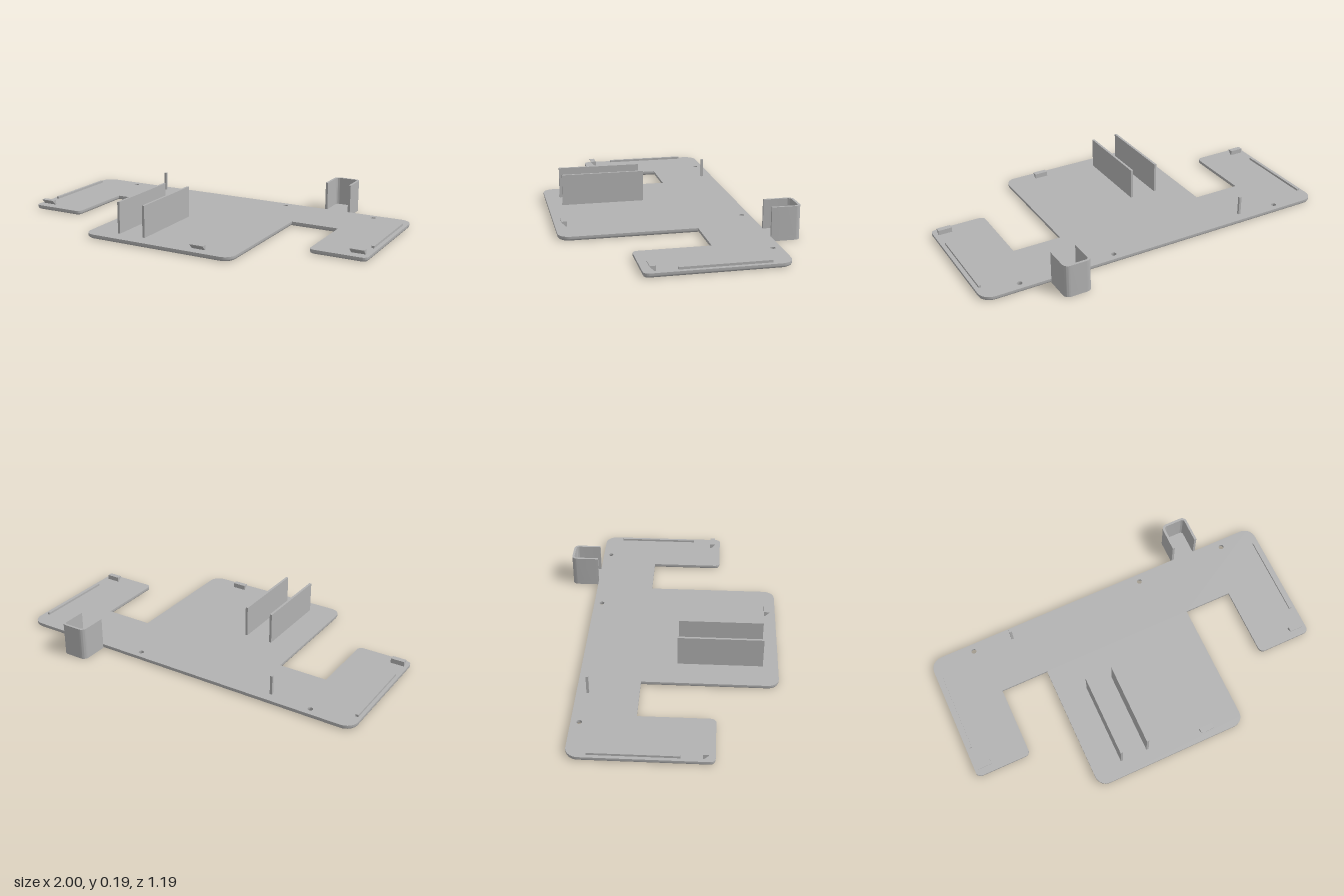
import * as THREE from 'three';
import { mergeGeometries, toCreasedNormals } from 'three/addons/utils/BufferGeometryUtils.js';

const THICK = 0.023; // base plate thickness
const FILLET = 0.012; // rounding of the lower plate edge

// Right half of the plate outline: x, shape y (= -z), corner radius
const HALF = [
  [0.43, -0.595, 0.06], [0.43, 0.12, 0], [0.697, 0.12, 0],
  [0.697, -0.275, 0.027], [1, -0.275, 0.027], [1, 0.443, 0.065],
];
const CORNERS = [...HALF, ...HALF.map(([x, y, r]) => [-x, y, r]).reverse()];
const HOLES = [-0.755, 0.265, 0.79];

// Plate outline inset by d, with a constant number of points
function outline(d) {
  const pts = [], n = CORNERS.length;
  const at = (i) => new THREE.Vector2(...CORNERS[(i + n) % n].slice(0, 2));
  for (let i = 0; i < n; i++) {
    const c = at(i), p = c.clone().sub(at(i - 1)).normalize(), q = at(i + 1).sub(c).normalize();
    c.x -= d * (p.y + q.y);
    c.y += d * (p.x + q.x);
    if (!CORNERS[i][2]) { pts.push(c); continue; }
    const r = CORNERS[i][2] - d;
    for (let k = 0; k <= 8; k++) {
      const t = (k / 8) * Math.PI / 2;
      pts.push(c.clone().addScaledVector(p, r * (Math.sin(t) - 1)).addScaledVector(q, r * (1 - Math.cos(t))));
    }
  }
  return pts;
}

// Screw hole, clockwise, widened by d
function hole(x, d) {
  return Array.from({ length: 24 }, (_, i) => {
    const t = -i / 24 * Math.PI * 2, r = 0.014 + d;
    return new THREE.Vector2(x + r * Math.cos(t), 0.4 + r * Math.sin(t));
  });
}

// Plate skin: two caps joined by rings that round off the lower edges
function plateGeometry() {
  const levels = [];
  for (let k = 0; k <= 4; k++) {
    const t = (k / 4) * Math.PI / 2;
    levels.push([FILLET * (1 - Math.sin(t)), FILLET * (1 - Math.cos(t))]);
  }
  levels.push([0, THICK]);
  const rings = levels.map(([d, h]) => ({ h, loops: [outline(d), ...HOLES.map((x) => hole(x, d))] }));

  const pos = [];
  for (let k = 0; k < rings.length - 1; k++) {
    const lo = rings[k], hi = rings[k + 1];
    lo.loops.forEach((loop, l) => loop.forEach((a, i) => {
      const j = (i + 1) % loop.length, b = loop[j], c = hi.loops[l][j], e = hi.loops[l][i];
      pos.push(a.x, a.y, lo.h, b.x, b.y, lo.h, c.x, c.y, hi.h);
      pos.push(a.x, a.y, lo.h, c.x, c.y, hi.h, e.x, e.y, hi.h);
    }));
  }
  const sides = new THREE.BufferGeometry();
  sides.setAttribute('position', new THREE.Float32BufferAttribute(pos, 3));

  const cap = ({ h, loops }, flip) => {
    const shape = new THREE.Shape(loops[0]);
    shape.holes = loops.slice(1).map((l) => new THREE.Path(l));
    const g = new THREE.ShapeGeometry(shape);
    if (flip) g.index.array.reverse();
    const out = g.toNonIndexed().translate(0, 0, h);
    out.deleteAttribute('normal');
    out.deleteAttribute('uv');
    return out;
  };
  const all = mergeGeometries([sides, cap(rings[0], true), cap(rings[rings.length - 1], false)]);
  return toCreasedNormals(all.rotateX(-Math.PI / 2), 0.6);
}

export function createModel() {
  const model = new THREE.Group();
  model.name = 'bracketPlate';
  const grey = new THREE.MeshStandardMaterial({ color: 0xb2b2b2 });
  grey.name = 'grey';

  const add = (name, geometry) => {
    const mesh = new THREE.Mesh(geometry, grey);
    mesh.name = name;
    model.add(mesh);
    return mesh;
  };
  // Box standing on the plate
  const block = (name, x, z, w, d, top) =>
    add(name, new THREE.BoxGeometry(w, top - THICK, d)).position.set(x, (top + THICK) / 2, z);

  add('basePlate', plateGeometry());

  // Upright walls, thin post and side rails
  block('leftWall', -0.113, 0.288, 0.013, 0.452, 0.193);
  block('rightWall', -0.264, 0.288, 0.013, 0.452, 0.193);
  block('post', -0.529, -0.384, 0.013, 0.013, 0.128);
  block('leftRail', 0.972, -0.115, 0.014, 0.45, 0.035);
  block('rightRail', -0.975, -0.115, 0.014, 0.45, 0.035);

  // Snap tabs with an overhanging front lip; profile is (z, y)
  const tabProfile = new THREE.Shape([[0, 0], [0.007, 0], [0.029, 0.022], [0.029, 0.026], [0, 0.026]]
    .map(([z, y]) => new THREE.Vector2(z, y)));
  const tab = (name, x, z) => {
    const g = new THREE.ExtrudeGeometry(tabProfile, { depth: 0.075, bevelEnabled: false });
    g.rotateY(-Math.PI / 2).translate(0.0375, 0, 0);
    add(name, g).position.set(x, THICK, z);
  };
  tab('centreTab', 0.225, 0.533);
  tab('leftTab', 0.938, 0.214);
  tab('rightTab', -0.943, 0.214);

  // Open-fronted pocket behind the plate: floor plus U-shaped wall
  const X = 0.565, W = 0.074, BACK = 0.597, FRONT = 0.442, R = 0.03, T = 0.013;
  const rounded = (s) => s.moveTo(X - W, FRONT).lineTo(X + W, FRONT).lineTo(X + W, BACK - R)
    .absarc(X + W - R, BACK - R, R, 0, Math.PI / 2).lineTo(X - W + R, BACK)
    .absarc(X - W + R, BACK - R, R, Math.PI / 2, Math.PI).lineTo(X - W, FRONT);
  const inner = W - T, r = R - T;
  const wall = new THREE.Shape();
  wall.moveTo(X + inner, FRONT).lineTo(X + W, FRONT).lineTo(X + W, BACK - R)
    .absarc(X + W - R, BACK - R, R, 0, Math.PI / 2)
    .absarc(X - W + R, BACK - R, R, Math.PI / 2, Math.PI)
    .lineTo(X - W, FRONT).lineTo(X - inner, FRONT).lineTo(X - inner, BACK - R)
    .absarc(X - W + R, BACK - R, r, Math.PI, Math.PI / 2, true)
    .absarc(X + W - R, BACK - R, r, Math.PI / 2, 0, true).lineTo(X + inner, FRONT);
  const raise = (shape, depth) => {
    const g = new THREE.ExtrudeGeometry(shape, { depth, bevelEnabled: false, curveSegments: 8 });
    return toCreasedNormals(g.rotateX(-Math.PI / 2), 0.6);
  };
  add('pocketFloor', raise(rounded(new THREE.Shape()), THICK));
  add('pocketWall', raise(wall, 0.177 - THICK)).position.y = THICK;

  return model;
}
